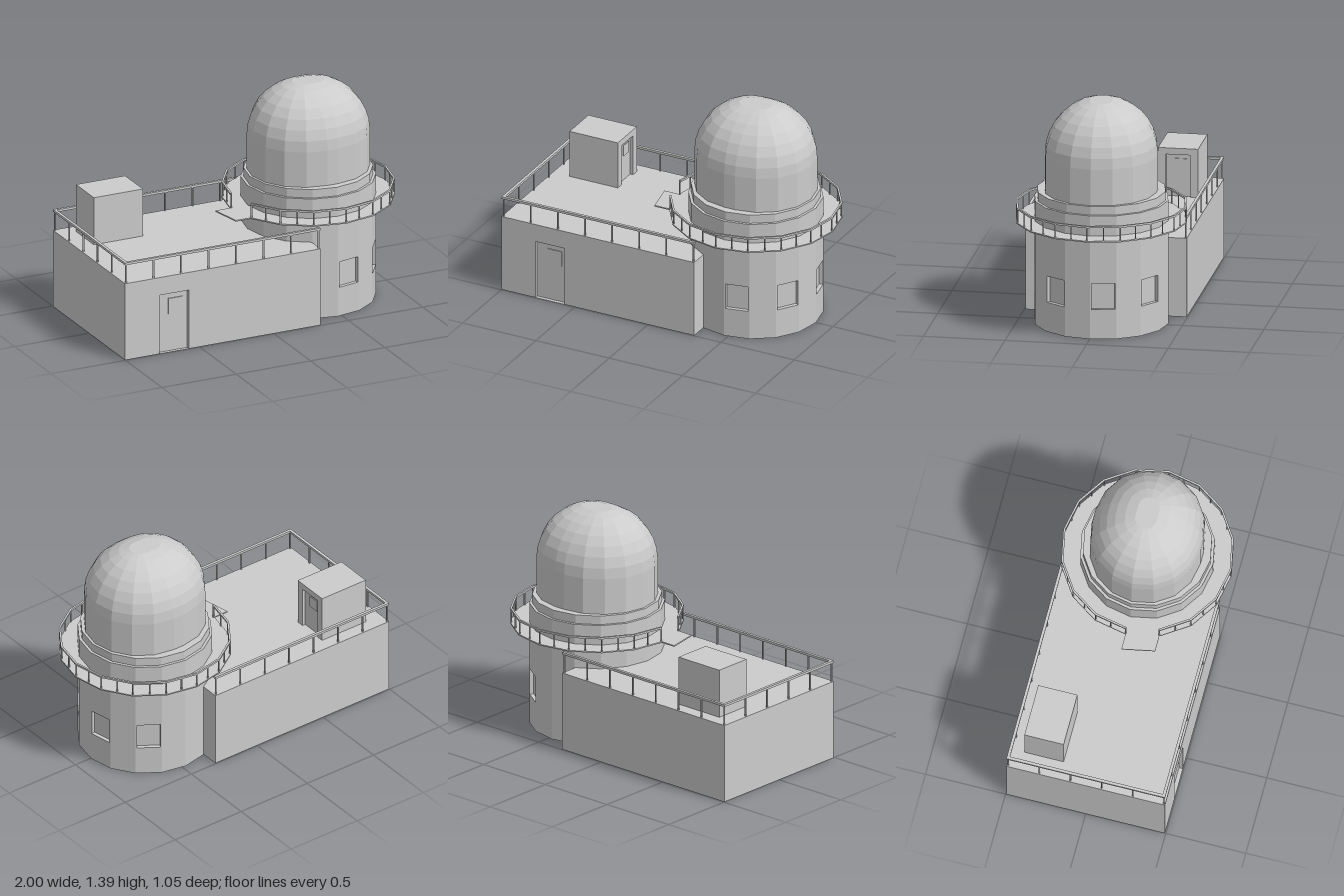
import * as THREE from 'three';

const mat = new THREE.MeshStandardMaterial({ color: 0xcccccc, flatShading: true, side: THREE.DoubleSide });
const SIDES = 16, TOWER_X = 0.475, TOWER_R = 0.41, DECK_R = 0.525, DECK_Y = 0.645;
const ROOF_Y = 0.495, LEFT = -1, RIGHT = 0.315, HALF_Z = 0.495;

function add(parent, name, geometry, x = 0, y = 0, z = 0) {
  const m = new THREE.Mesh(geometry, mat);
  m.name = name;
  m.position.set(x, y, z);
  parent.add(m);
  return m;
}

function group(parent, name, x = 0, y = 0, z = 0) {
  const g = new THREE.Group();
  g.name = name;
  g.position.set(x, y, z);
  parent.add(g);
  return g;
}

// Box without some faces (0 +x, 1 -x, 2 +y, 3 -y, 4 +z, 5 -z)
function openBox(w, h, d, ...removed) {
  const g = new THREE.BoxGeometry(w, h, d);
  const index = Array.from(g.index.array).filter((_, i) => !removed.includes(Math.floor(i / 6)));
  g.setIndex(index);
  g.clearGroups();
  return g;
}

// Wall facing +z from x0 to x1, with an optional recessed opening {x, y, w, h, d}
function wall(parent, name, x0, x1, height, o) {
  const pts = [[x0, 0]];
  if (o && o.y === 0) {
    pts.push([o.x - o.w / 2, 0], [o.x - o.w / 2, o.h], [o.x + o.w / 2, o.h], [o.x + o.w / 2, 0]);
  }
  pts.push([x1, 0], [x1, height], [x0, height]);
  const shape = new THREE.Shape(pts.map(p => new THREE.Vector2(...p)));
  if (o && o.y > 0) {
    const a = o.x - o.w / 2, b = o.x + o.w / 2, t = o.y + o.h;
    shape.holes.push(new THREE.Path([[a, o.y], [a, t], [b, t], [b, o.y]].map(p => new THREE.Vector2(...p))));
  }
  add(parent, name, new THREE.ShapeGeometry(shape));
  if (!o) return;
  add(parent, o.y ? 'windowRecess' : 'doorRecess', openBox(o.w, o.h, o.d, 4), o.x, o.y + o.h / 2, -o.d / 2);
  if (o.y === 0) {
    add(parent, 'doorWindow', new THREE.BoxGeometry(o.w * 0.48, o.h * 0.27, 0.008),
      o.x + o.w * 0.1, o.h * 0.76, -o.d + 0.002);
  }
}

// Straight bar between two points, with its section upright
function bar(parent, name, a, b, width, height) {
  const m = add(parent, name, new THREE.BoxGeometry(width, height, a.distanceTo(b)));
  m.position.copy(a).lerp(b, 0.5);
  m.lookAt(b);
}

function post(parent, x, z, y0, y1, t) {
  add(parent, 'railPost', new THREE.BoxGeometry(t, y1 - y0, t), x, (y0 + y1) / 2, z);
}

function ringPoint(r, k, y) {
  const a = k * 2 * Math.PI / SIDES;
  return new THREE.Vector3(r * Math.cos(a), y, r * Math.sin(a));
}

function lathe(points, segments = SIDES, start = 0, length = Math.PI * 2) {
  return new THREE.LatheGeometry(points.map(p => new THREE.Vector2(...p)), segments, start, length);
}

function buildBlock(root) {
  const block = group(root, 'lowBuilding');
  const w = RIGHT - LEFT, cx = (LEFT + RIGHT) / 2;
  // Open below; the front wall is separate for its doorway
  add(block, 'wallsAndRoof', openBox(w, ROOF_Y, HALF_Z * 2, 3, 4), cx, ROOF_Y / 2, 0);
  const front = group(block, 'frontWall', 0, 0, HALF_Z);
  wall(front, 'frontWallPanel', LEFT, RIGHT, ROOF_Y, { x: -0.67, y: 0, w: 0.2, h: 0.38, d: 0.025 });

  // Roof hut with a door towards the tower
  const hut = group(block, 'roofHut', -0.72, ROOF_Y, -0.29);
  add(hut, 'hutWalls', openBox(0.33, 0.305, 0.245, 0), 0, 0.1525, 0);
  const side = group(hut, 'hutDoorWall', 0.165, 0, 0);
  side.rotation.y = Math.PI / 2;
  wall(side, 'hutDoorPanel', -0.1225, 0.1225, 0.305, { x: 0, y: 0, w: 0.15, h: 0.265, d: 0.02 });

  // Railing along three roof edges
  const rail = group(block, 'roofRailing');
  const e = 0.486, y = 0.622;
  for (const s of [-1, 1]) {
    bar(rail, 'topRail', new THREE.Vector3(LEFT, y, s * e), new THREE.Vector3(RIGHT, y, s * e), 0.018, 0.015);
    for (let i = 0; i < 8; i++) post(rail, -0.99 + i * 0.185, s * e, ROOF_Y, y, 0.008);
  }
  bar(rail, 'topRail', new THREE.Vector3(-0.991, y, -e), new THREE.Vector3(-0.991, y, e), 0.018, 0.015);
  for (let i = 1; i < 5; i++) post(rail, -0.99, -e + i * e * 2 / 5, ROOF_Y, y, 0.008);
}

function buildTower(root) {
  const tower = group(root, 'tower', TOWER_X, 0, 0);
  // One flat wall per side; four of them have a window
  const half = TOWER_R * Math.sin(Math.PI / SIDES), apothem = TOWER_R * Math.cos(Math.PI / SIDES);
  const windowSides = [-3, -1, 1, 3];
  for (let k = -8; k < 8; k++) {
    const a = (k + 0.5) * 2 * Math.PI / SIDES;
    const side = group(tower, 'towerSide', apothem * Math.cos(a), 0, apothem * Math.sin(a));
    side.rotation.y = Math.PI / 2 - a;
    const hasWindow = windowSides.includes(k);
    wall(side, 'towerWall', -half, half, 0.775, hasWindow && { x: 0, y: 0.185, w: 0.142, h: 0.165, d: 0.025 });
  }
  // Stepped collar under the dome
  add(tower, 'collar', lathe([[TOWER_R, 0.775], [0.393, 0.775], [0.393, 0.83], [0.3, 0.83]]));

  // Dome: two half shells either side of a narrow straight strip
  const dome = group(tower, 'dome');
  const R = 0.34, gap = 0.037, springY = 1.056;
  const profile = [[R, 0.83]];
  for (let i = 0; i < 8; i++) {
    const t = i * Math.PI / 16;
    profile.push([R * Math.cos(t), springY + R * Math.sin(t)]);
  }
  profile.push([0, profile[8][1]]);
  for (const s of [1, -1]) {
    const shell = add(dome, 'domeHalf', lathe(profile, 8, 0, Math.PI), s * gap);
    if (s < 0) shell.rotation.y = Math.PI;
  }
  const arch = [...profile, ...profile.slice(0, 9).reverse().map(([x, y]) => [-x, y])];
  const strip = new THREE.ExtrudeGeometry(new THREE.Shape(arch.map(p => new THREE.Vector2(...p))),
    { depth: gap * 2, bevelEnabled: false });
  strip.rotateY(Math.PI / 2).translate(-gap, 0, 0);
  add(dome, 'domeStrip', strip);
}

function buildBalcony(root) {
  const balcony = group(root, 'balcony', TOWER_X, 0, 0);
  const y0 = DECK_Y - 0.004, y1 = DECK_Y + 0.004, r = DECK_R - 0.006, railY = 0.737;
  add(balcony, 'balconyDeck', lathe([[0.4, y0], [DECK_R, y0], [DECK_R, y1], [0.4, y1]]));

  // Landing outside the gap in the railing
  const a = ringPoint(DECK_R, 8, 0), b = ringPoint(DECK_R, 7, 0), out = 0.1;
  const corners = [[a.x, a.z], [b.x, b.z], [b.x - out, b.z], [a.x - out, a.z]];
  const landing = new THREE.ExtrudeGeometry(
    new THREE.Shape(corners.map(([x, z]) => new THREE.Vector2(x, -z))), { depth: y1 - y0, bevelEnabled: false });
  add(balcony, 'landing', landing.rotateX(-Math.PI / 2), 0, y0, 0);

  // Railing with a post at each corner and mid-side, leaving one side open
  const rail = group(balcony, 'balconyRailing');
  for (let k = 8; k < 23; k++) {
    const p = ringPoint(r, k, railY), q = ringPoint(r, k + 1, railY);
    // Bars are placed in the railing's own frame, so turn them by angle
    const m = add(rail, 'topRail', new THREE.BoxGeometry(0.012, 0.012, p.distanceTo(q) + 0.002));
    m.position.copy(p).lerp(q, 0.5);
    m.rotation.y = Math.atan2(q.x - p.x, q.z - p.z);
    post(rail, p.x, p.z, DECK_Y, railY, 0.007);
    post(rail, m.position.x, m.position.z, DECK_Y, railY, 0.007);
    if (k === 22) post(rail, q.x, q.z, DECK_Y, railY, 0.007);
  }
}

export function createModel() {
  const root = new THREE.Group();
  root.name = 'observatory';
  buildBlock(root);
  buildTower(root);
  buildBalcony(root);
  return root;
}
